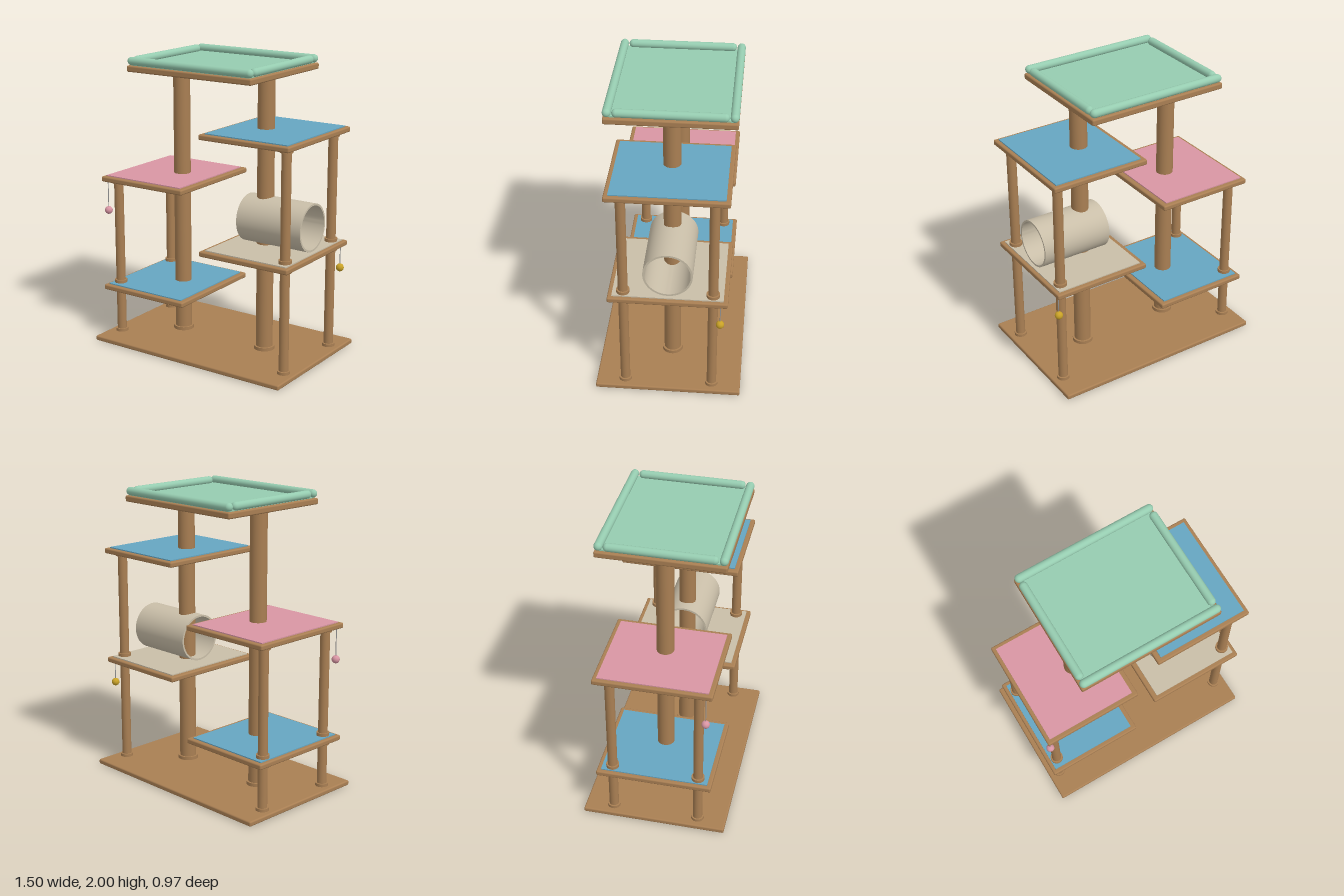
import * as THREE from 'three';
import { toCreasedNormals } from 'three/addons/utils/BufferGeometryUtils.js';
import { RoundedBoxGeometry } from 'three/addons/geometries/RoundedBoxGeometry.js';

const material = (name, color) => {
  const m = new THREE.MeshStandardMaterial({ color });
  m.name = name;
  return m;
};

export function createModel() {
  const wood = material('wood', 0xa97f53);
  const mint = material('mint plush', 0x96ccb0);
  const pink = material('pink plush', 0xd895a3);
  const blue = material('blue plush', 0x66a5c1);
  const beige = material('beige plush', 0xc9bea8);
  const gold = material('gold', 0xc9a227);
  const cord = material('cord', 0x9a9a9a);

  const model = new THREE.Group();
  model.name = 'catTree';

  const add = (name, geometry, mat, x, y, z) => {
    const mesh = new THREE.Mesh(geometry, mat);
    mesh.name = name;
    mesh.position.set(x, y, z);
    model.add(mesh);
    return mesh;
  };

  // Slab with softened edges, given by its bottom and top heights
  const slab = (name, x, w, d, y0, y1) =>
    add(name, new RoundedBoxGeometry(w, y1 - y0, d, 3, 0.01), wood, x, (y0 + y1) / 2, 0);

  // Upright cylinder between two heights
  const post = (name, x, z, r, y0, y1) =>
    add(name, new THREE.CylinderGeometry(r, r, y1 - y0, 28), wood, x, (y0 + y1) / 2, z);

  // Base and the two main posts with end collars
  slab('base', 0, 1.5, 0.966, 0, 0.034);
  for (const x of [-0.342, 0.336]) {
    post('mainPost', x, 0, 0.057, 0.02, 1.92);
    post('mainPostCollar', x, 0, 0.07, 0.03, 0.057);
    post('mainPostCollar', x, 0, 0.07, 1.885, 1.91);
  }

  // Side platforms with plush inlays: [side, bottom height, colour]
  const platforms = [[-1, 0.35, blue], [-1, 1.126, pink], [1, 0.738, beige], [1, 1.515, blue]];
  for (const [side, y, mat] of platforms) {
    slab('platform', side * 0.406, 0.674, 0.775, y, y + 0.036);
    add('platformPlush', new THREE.BoxGeometry(0.615, 0.009, 0.718), mat, side * 0.41, y + 0.0385, 0);
  }

  // Slim corner posts with collars above the base and around each platform
  for (const [side, mid, top] of [[-1, 0.35, 1.126], [1, 0.738, 1.515]]) {
    for (const z of [-0.29, 0.29]) {
      const x = side * 0.67;
      post('cornerPost', x, z, 0.032, 0.02, top + 0.01);
      for (const y of [0.03, mid - 0.02, mid + 0.04, top - 0.02])
        post('cornerPostCollar', x, z, 0.043, y, y + 0.024);
    }
  }

  // Top bed: platform, cushion and bolsters
  slab('topPlatform', 0, 0.966, 0.822, 1.903, 1.944);
  add('topCushion', new THREE.BoxGeometry(0.92, 0.012, 0.78), mint, 0, 1.948, 0);
  const r = 0.027;
  for (const s of [-1, 1]) {
    add('longBolster', new THREE.CapsuleGeometry(r, 0.966 - 2 * r, 8, 20), mint, 0, 1.973, s * 0.386)
      .rotation.z = Math.PI / 2;
    add('shortBolster', new THREE.CapsuleGeometry(r, 0.71 - 2 * r, 8, 20), mint, s * 0.456, 1.973, 0)
      .rotation.x = Math.PI / 2;
  }

  // Hollow tunnel lying along x
  const ring = new THREE.Shape().absarc(0, 0, 0.16, 0, Math.PI * 2);
  ring.holes.push(new THREE.Path().absarc(0, 0, 0.147, 0, Math.PI * 2, true));
  const tube = new THREE.ExtrudeGeometry(ring, { depth: 0.487, bevelEnabled: false, curveSegments: 48 });
  add('tunnel', toCreasedNormals(tube, 0.6), beige, 0.21, 0.945, 0).rotation.y = Math.PI / 2;

  // Hanging ball toys
  const toy = (x, y, z, top, mat) => {
    add('toyCord', new THREE.CylinderGeometry(0.003, 0.003, top - y, 6), cord, x, (top + y) / 2, z);
    add('toyBall', new THREE.SphereGeometry(0.027, 16, 12), mat, x, y, z);
  };
  toy(-0.72, 0.918, 0.343, 1.13, pink);
  toy(0.717, 0.588, -0.34, 0.742, gold);

  return model;
}
